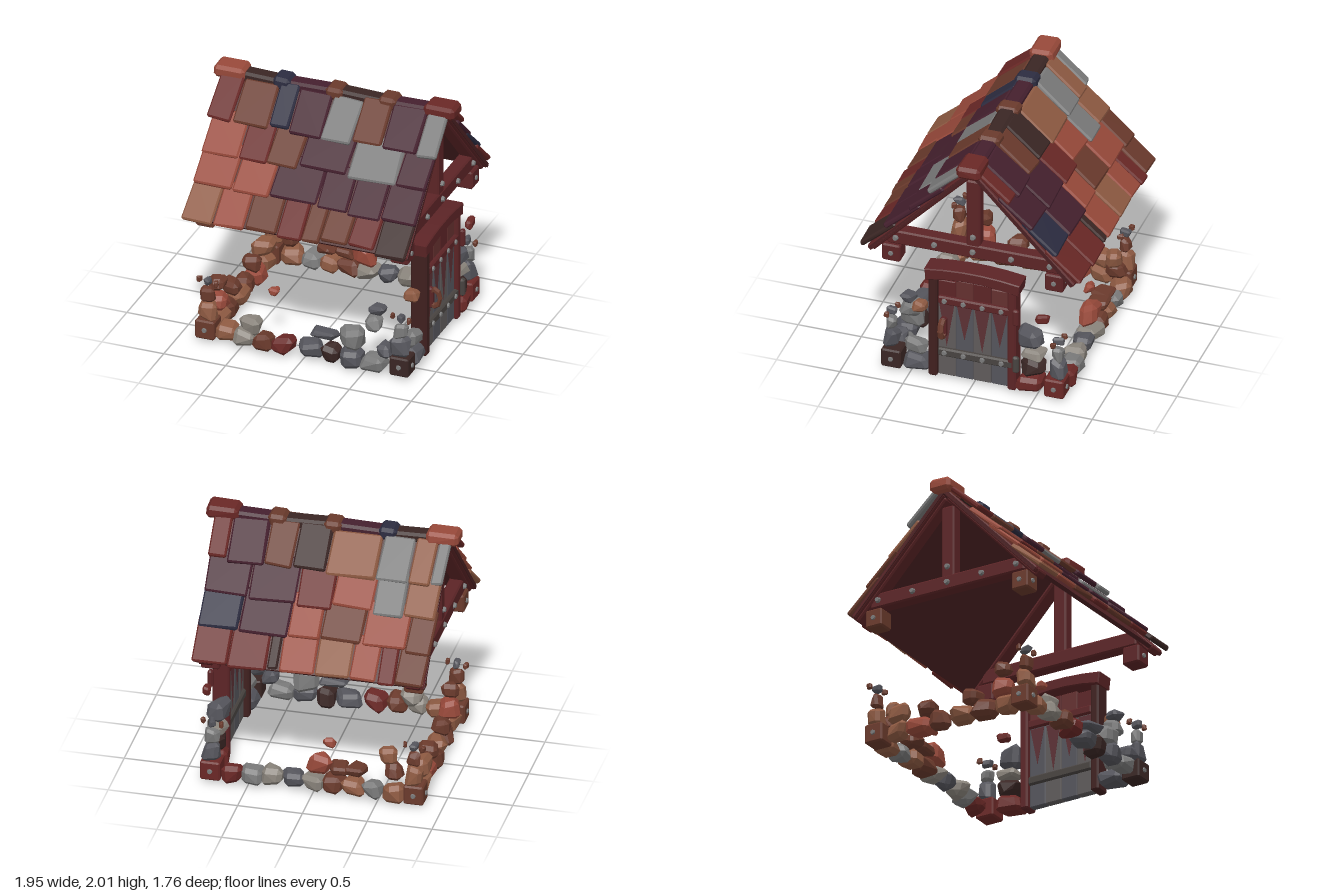
import * as THREE from 'three';
import { ConvexGeometry } from 'three/addons/geometries/ConvexGeometry.js';

let seed = 7;
const rnd = () => { seed = (seed * 16807) % 2147483647; return seed / 2147483647 - 0.5; };
const mats = {};
const mat = (c) => (mats[c] ??= new THREE.MeshStandardMaterial({ color: c, flatShading: true }));

function add(parent, name, geo, color, x = 0, y = 0, z = 0) {
  const m = new THREE.Mesh(geo, mat(color));
  m.name = name;
  m.position.set(x, y, z);
  parent.add(m);
  return m;
}

// Box with chamfered edges; jitter makes it irregular
function block(w, h, d, c = 0.012, jitter = 0) {
  const pts = [];
  for (const sx of [-1, 1]) for (const sy of [-1, 1]) for (const sz of [-1, 1]) {
    const [jx, jy, jz] = [rnd() * w * jitter, rnd() * h * jitter, rnd() * d * jitter];
    for (let k = 0; k < 3; k++) pts.push(new THREE.Vector3(
      sx * (w / 2 - (k === 0 ? 0 : c)) + jx,
      sy * (h / 2 - (k === 1 ? 0 : c)) + jy,
      sz * (d / 2 - (k === 2 ? 0 : c)) + jz));
  }
  return new ConvexGeometry(pts);
}

const RED = 0x5c2426, DARK = 0x3a2624, GREY = 0x7a7a7a, SLATE = 0x55555c, PALE = 0x8a847c;
const PLUM = 0x45202e, BROWN = 0x6a3a2c, RUST = 0x98493a, TAN = 0x8e5a42, NAVY = 0x2c2c40, WINE = 0x6a2826;

// Bolt head along x or z
function bolt(parent, x, y, z, axis = 'x') {
  const b = add(parent, 'bolt', new THREE.CylinderGeometry(0.017, 0.025, 0.022, 8), GREY, x, y, z);
  if (axis === 'x') b.rotation.z = x > 0 ? -Math.PI / 2 : Math.PI / 2;
  else b.rotation.x = z > 0 ? Math.PI / 2 : -Math.PI / 2;
}

// One row of tiles: joints between tiles along x, and a colour for each tile
function tileRow(g, side, row, joints, colors) {
  colors.forEach((color, i) => {
    const a = joints[i], b = joints[i + 1], len = 0.36;
    const end = 0.395 + row * 0.267 + rnd() * 0.04;
    const lift = (row === 0 ? 0.052 : 0.034) + rnd() * 0.008;
    const t = add(g, 'roofTile', block(b - a - 0.012, 0.042, len, 0.012, 0.04), color, side * (a + b) / 2, lift, end - len / 2);
    t.rotation.set(-0.09, rnd() * 0.08, 0);
  });
}

function frontTiles(g) {
  tileRow(g, 1, 0, [-.92, -.72, -.43, -.27, 0, .24, .48, .76, .93], [WINE, BROWN, NAVY, PLUM, GREY, BROWN, PLUM, GREY]);
  tileRow(g, 1, 1, [-.9, -.6, -.37, -.12, .27, .66, .91], [RUST, WINE, BROWN, PLUM, GREY, PLUM]);
  tileRow(g, 1, 2, [-.9, -.58, -.28, .1, .35, .62, .91], [RUST, RUST, PLUM, PLUM, PLUM, PLUM]);
  tileRow(g, 1, 3, [-.91, -.66, -.41, -.15, .05, .2, .42, .64, .9], [TAN, RUST, BROWN, WINE, BROWN, BROWN, WINE, DARK]);
}

function backTiles(g) {
  tileRow(g, -1, 0, [-.92, -.82, -.65, -.4, -.01, .25, .47, .76, .91], [GREY, TAN, GREY, TAN, DARK, BROWN, PLUM, WINE]);
  tileRow(g, -1, 1, [-.9, -.65, -.41, -.1, .18, .55, .9], [TAN, GREY, RUST, WINE, PLUM, PLUM]);
  tileRow(g, -1, 2, [-.91, -.71, -.37, -.05, .2, .58, .89], [BROWN, RUST, BROWN, RUST, PLUM, NAVY]);
  tileRow(g, -1, 3, [-.9, -.67, -.53, -.32, -.05, .23, .32, .62, .9], [BROWN, WINE, RUST, TAN, RUST, DARK, WINE, WINE]);
}

// One slope: local z runs down the roof, local y points out of it
function slope(name, layTiles, turn) {
  const outer = new THREE.Group(), g = new THREE.Group();
  outer.name = name;
  g.name = 'slopeParts';
  outer.add(g);
  outer.rotation.y = turn;
  g.position.y = 1.935;
  g.rotation.x = THREE.MathUtils.degToRad(46.5);
  add(g, 'roofDeck', new THREE.BoxGeometry(1.79, 0.03, 1.15), 0x4a2022, 0, -0.012, 0.605);
  for (const s of [-1, 1]) {
    add(g, 'rafter', block(0.12, 0.06, 1.14), RED, s * 0.8, -0.022, 0.62);
    add(g, 'edgeBoard', block(0.05, 0.045, 1.15), RED, s * 0.87, -0.01, 0.61);
  }
  layTiles(g);
  return outer;
}

function roof() {
  const g = new THREE.Group();
  g.name = 'roof';
  g.add(slope('frontSlope', frontTiles, 0), slope('backSlope', backTiles, Math.PI));
  // Ridge beam pieces and caps, with bigger caps at the ends
  [RUST, NAVY, BROWN, BROWN, WINE].forEach((color, i) => {
    const end = i % 4 === 0, x = -0.85 + i * 0.425;
    add(g, 'ridgeCap', block(end ? 0.25 : 0.14, 0.1, end ? 0.185 : 0.17, 0.025, 0.05), color, x, end ? 1.948 : 1.933, 0);
    if (i < 4) add(g, 'ridgeBeam', block(0.425, 0.08, 0.13, 0.02), i % 2 ? PLUM : DARK, x + 0.2125, 1.925, 0).rotation.z = i % 2 ? 0.02 : -0.03;
  });
  // Gable trusses
  for (const s of [-1, 1]) {
    add(g, 'tieBeam', block(0.11, 0.12, 1.36), RED, s * 0.79, 1.18, 0);
    add(g, 'kingPost', block(0.1, 0.6, 0.11), RED, s * 0.79, 1.51, 0);
    for (let i = -2; i <= 2; i++) bolt(g, s * 0.855, 1.18, i * 0.305);
    bolt(g, s * 0.85, 1.31, 0);
  }
  return g;
}

// Square blocks under the roof and at the base
function cornerBlocks() {
  const g = new THREE.Group();
  g.name = 'cornerBlocks';
  const cube = (x, y, z, size, color) => {
    add(g, 'cornerBlock', block(size, size, size), color, x, y, z);
    bolt(g, x + Math.sign(x) * size / 2, y, z);
    bolt(g, x, y, z + Math.sign(z) * size / 2, 'z');
  };
  for (const sx of [-1, 1]) for (const sz of [-1, 1]) {
    cube(sx * 0.785, 1.04, sz * 0.645, 0.145, sx < 0 ? BROWN : RED);
    cube(sx * 0.785, 0.09, sz * 0.645, 0.155, sx < 0 ? BROWN : sz > 0 ? DARK : WINE);
  }
  return g;
}

function door() {
  const g = new THREE.Group();
  g.name = 'door';
  add(g, 'leftJamb', block(0.13, 0.88, 0.07), 0x40201f, 0.795, 0.45, 0.315);
  add(g, 'rightJamb', block(0.13, 0.88, 0.065), RED, 0.795, 0.45, -0.31);
  // Arched lintel
  const arch = new THREE.Shape();
  arch.moveTo(-0.36, 0.875);
  arch.quadraticCurveTo(0, 0.955, 0.36, 0.875);
  arch.lineTo(0.37, 0.955);
  arch.quadraticCurveTo(0, 1.015, -0.37, 0.955);
  const lintelGeo = new THREE.ExtrudeGeometry(arch, { depth: 0.15, curveSegments: 5, bevelSize: 0.008, bevelThickness: 0.008, bevelSegments: 1 });
  add(g, 'lintel', lintelGeo, RED, 0.71).rotation.y = Math.PI / 2;
  // Planks, grey below and red above, with red wedges tapering down
  for (let i = 0; i < 4; i++) {
    const z = 0.21 - i * 0.14, top = i % 3 ? 0.885 : 0.865;
    add(g, 'lowerPlank', block(0.06, 0.66, 0.139, 0.006), i % 2 ? SLATE : 0x5f5b5b, 0.8, 0.35, z);
    add(g, 'upperPlank', block(0.06, top - 0.66, 0.139, 0.006), i % 2 ? 0x64302f : RED, 0.8, (top + 0.66) / 2, z);
    const wedge = new THREE.Shape();
    wedge.moveTo(-0.06, 0.66);
    wedge.lineTo(0, 0.28 + (i % 2) * 0.08);
    wedge.lineTo(0.06, 0.66);
    add(g, 'paintWedge', new THREE.ExtrudeGeometry(wedge, { depth: 0.064, bevelEnabled: false }), 0x5c3034, 0.768, 0, z).rotation.y = Math.PI / 2;
  }
  // Straps, bolts and hinges
  for (const [y, color, hingeY] of [[0.7, RED, 0.68], [0.235, 0x484340, 0.26]]) {
    add(g, 'strap', block(0.11, 0.07, 0.6), color, 0.805, y, -0.025);
    for (let i = 0; i < 4; i++) bolt(g, 0.862, y, 0.22 - i * 0.15);
    add(g, 'hinge', block(0.04, 0.14, 0.05), color, 0.87, hingeY, -0.35);
  }
  add(g, 'handle', new THREE.TorusGeometry(0.07, 0.025, 6, 8), BROWN, 0.878, 0.46, 0.23).scale.x = 0.65;
  add(g, 'handlePlate', block(0.05, 0.17, 0.05), RED, 0.845, 0.46, 0.23);
  return g;
}

function walls() {
  const g = new THREE.Group();
  g.name = 'stoneWalls';
  const stone = (color, x, y, z, w, h, d, name = 'stone') => {
    add(g, name, block(w, h, d, Math.min(w, h, d) * 0.25, 0.24), color, x, y, z).rotation.y = rnd() * 0.5;
  };
  // Stones laid in a line, one per colour
  const alongX = (colors, x, step, y, z, h) => colors.forEach((c, i) =>
    stone(c, x + i * step, y, z + rnd() * 0.04, step * (0.98 + rnd() * 0.25), h * (1 + rnd() * 0.2), 0.15));
  const alongZ = (colors, x, y, z, step, h) => colors.forEach((c, i) =>
    stone(c, x + rnd() * 0.03, y, z + i * step, 0.14, h * (1 + rnd() * 0.2), step * (0.95 + rnd() * 0.25)));

  // Front wall
  alongX([TAN, PALE, BROWN, WINE], -0.63, 0.155, 0.08, 0.655, 0.13);
  alongX([SLATE, DARK, SLATE, GREY], 0.05, 0.17, 0.075, 0.655, 0.12);
  stone(PALE, -0.45, 0.17, 0.63, 0.15, 0.15, 0.14);
  stone(SLATE, 0.16, 0.215, 0.64, 0.2, 0.06, 0.12);
  stone(GREY, 0.38, 0.22, 0.63, 0.17, 0.17, 0.15);
  stone(SLATE, 0.65, 0.19, 0.66, 0.13, 0.11, 0.13);
  stone(GREY, 0.54, 0.36, 0.6, 0.13, 0.13, 0.12);
  stone(SLATE, 0.57, 0.48, 0.6, 0.12, 0.08, 0.1);

  // Back wall
  alongX([TAN, GREY, TAN, BROWN, PALE, SLATE, PALE, GREY, WINE], -0.62, 0.155, 0.08, -0.65, 0.13);
  alongX([BROWN, BROWN], -0.33, 0.14, 0.215, -0.65, 0.08);
  stone(RUST, -0.04, 0.22, -0.63, 0.17, 0.17, 0.14);
  stone(BROWN, -0.62, 0.24, -0.64, 0.14, 0.14, 0.14);
  stone(TAN, -0.57, 0.37, -0.63, 0.13, 0.12, 0.12);

  // Wall opposite the door, heaped up at its ends
  alongZ([TAN, RUST, BROWN, TAN, BROWN, TAN], -0.78, 0.08, -0.47, 0.19, 0.14);
  stone(TAN, -0.78, 0.22, -0.46, 0.14, 0.13, 0.17);
  stone(BROWN, -0.78, 0.21, -0.2, 0.13, 0.12, 0.15);
  stone(BROWN, -0.78, 0.21, 0.18, 0.13, 0.12, 0.15);
  stone(RUST, -0.78, 0.22, 0.46, 0.14, 0.13, 0.17);
  stone(BROWN, -0.78, 0.37, 0.46, 0.12, 0.11, 0.14);

  // Stones beside the door
  for (const s of [-1, 1]) {
    stone(s > 0 ? SLATE : WINE, 0.79, 0.09, s * 0.45, 0.15, 0.12, 0.19);
    stone(s > 0 ? GREY : DARK, 0.79, 0.22, s * 0.46, 0.13, 0.13, 0.16);
  }
  stone(PALE, 0.78, 0.34, -0.46, 0.12, 0.08, 0.16);
  stone(SLATE, 0.78, 0.47, -0.44, 0.14, 0.16, 0.17);

  // Loose stones
  stone(RUST, -0.31, 0.41, 0.5, 0.08, 0.06, 0.07, 'looseStone');
  stone(RUST, -0.11, 0.4, -0.6, 0.09, 0.07, 0.07, 'looseStone');
  stone(TAN, 0.78, 0.57, 0.43, 0.1, 0.08, 0.1, 'looseStone');
  stone(WINE, 0.85, 0.7, -0.55, 0.06, 0.07, 0.1, 'looseStone');

  // Corner stacks with pebbles on top
  for (const x of [-0.78, 0.78]) for (const z of [-0.66, 0.66]) {
    stone(x < 0 ? TAN : SLATE, x, 0.24, z, 0.13, 0.15, 0.11, 'cornerStone');
    stone(x < 0 ? BROWN : GREY, x, 0.37, z, 0.1, 0.11, 0.08, 'cornerStone');
    stone(SLATE, x, 0.48, z, 0.05, 0.06, 0.08, 'pebble');
    for (const k of [-1, 1]) stone(BROWN, x + k * 0.075, 0.48, z + k * 0.02, 0.03, 0.045, 0.04, 'pebble');
  }
  return g;
}

export function createModel() {
  const model = new THREE.Group();
  model.name = 'ruinedHut';
  model.add(roof(), cornerBlocks(), door(), walls());
  return model;
}
